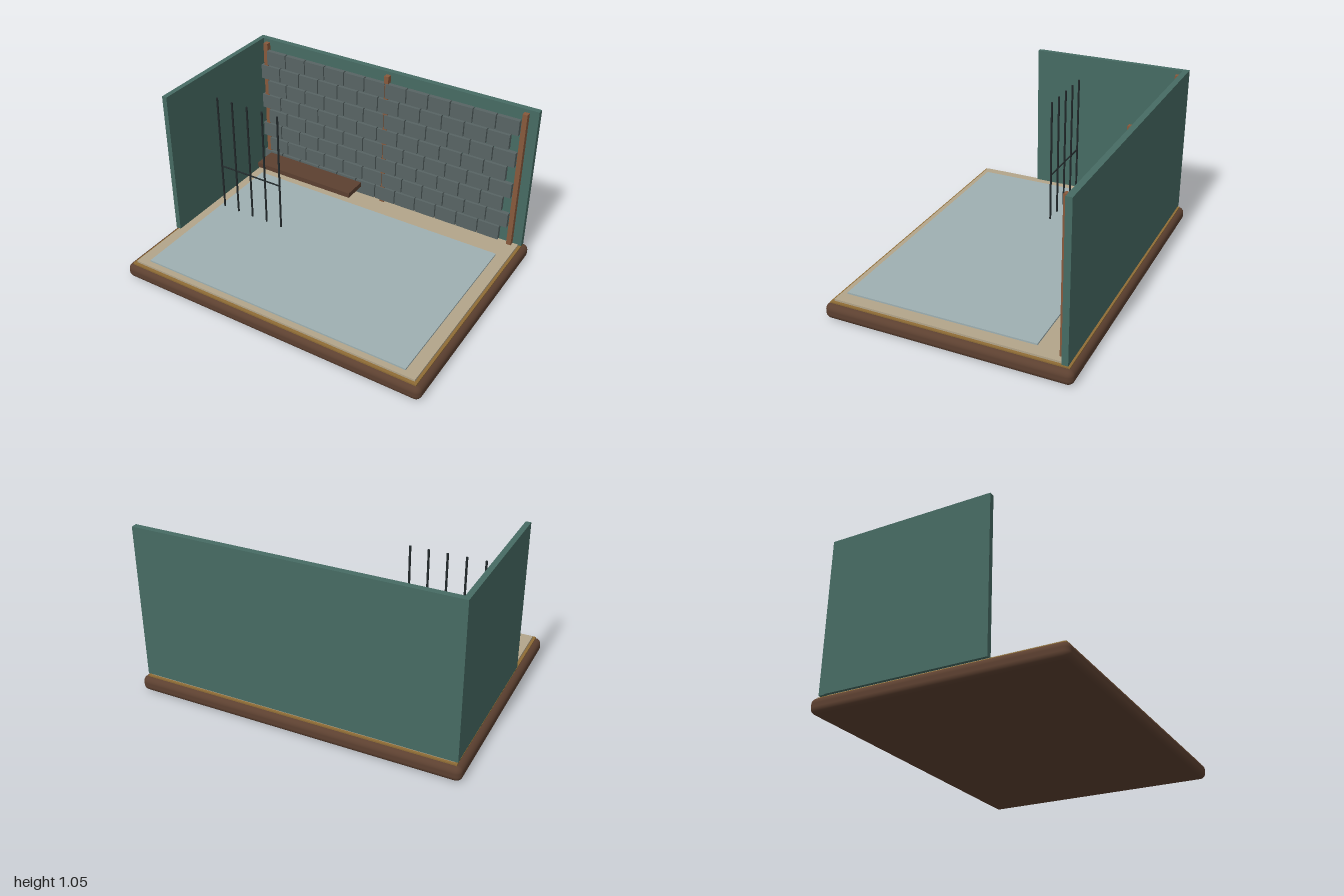
import * as THREE from 'three';
import { RoundedBoxGeometry } from 'three/addons/geometries/RoundedBoxGeometry.js';

const mat = (color) => new THREE.MeshStandardMaterial({ color });
const wood = mat(0x5c4030), gold = mat(0x8f6c35), sand = mat(0xb3a58a), glaze = mat(0x9eb0b2);
const wallGreen = mat(0x466b63), stone = mat(0x586464), timber = mat(0x87593c), iron = mat(0x22292b);

export function createModel() {
  const model = new THREE.Group();

  const add = (name, geometry, material, x, y, z, parent = model) => {
    const mesh = new THREE.Mesh(geometry, material);
    mesh.name = name;
    mesh.position.set(x, y, z);
    parent.add(mesh);
    return mesh;
  };
  // Box given by its extents on each axis
  const block = (name, material, [x0, x1], [y0, y1], [z0, z1], parent) =>
    add(name, new THREE.BoxGeometry(x1 - x0, y1 - y0, z1 - z0), material,
      (x0 + x1) / 2, (y0 + y1) / 2, (z0 + z1) / 2, parent);
  const group = (name) => {
    const g = new THREE.Group();
    g.name = name;
    model.add(g);
    return g;
  };

  // Rounded plinth with stepped floor layers
  add('plinth', new RoundedBoxGeometry(2, 0.092, 1.49, 5, 0.036), wood, 0, 0.046, -0.005);
  block('plinthTrim', gold, [-0.967, 0.967], [0.085, 0.099], [-0.723, 0.716]);
  block('floor', sand, [-0.95, 0.95], [0.099, 0.111], [-0.708, 0.697]);
  block('floorPanel', glaze, [-0.875, 0.875], [0.111, 0.121], [-0.505, 0.66]);

  // Two walls meeting at the back corner
  block('backWall', wallGreen, [-0.97, 0.97], [0.107, 1.05], [-0.714, -0.677]);
  block('sideWall', wallGreen, [-0.97, -0.938], [0.11, 1.05], [-0.677, 0.3]);

  // Timber posts against the back wall
  const posts = group('posts');
  for (const x of [-0.903, -0.003, 0.898])
    block('post', timber, [x - 0.015, x + 0.015], [0.11, 1.03], [-0.677, -0.644], posts);

  // Stone blocks, alternate courses shifted sideways
  const stones = group('stoneCourses');
  const rows = 8, columns = 12, pitch = 0.1475;
  const stoneGeometry = new THREE.BoxGeometry(0.14, 0.097, 0.028);
  for (let r = 0; r < rows; r++) {
    const start = r % 2 ? -0.89 : -0.938;
    for (let c = 0; c < columns; c++)
      add('stoneBlock', stoneGeometry, stone, start + 0.0715 + c * pitch, 0.175 + r * 0.1084, -0.652, stones);
  }

  // Bench plank in front of the stones
  block('benchPlank', wood, [-0.835, -0.12], [0.231, 0.264], [-0.567, -0.412]);

  // Free-standing iron bars with a crossbar
  const grille = group('ironBars');
  const barGeometry = new THREE.CylinderGeometry(0.0065, 0.0065, 0.795, 10);
  for (let i = 0; i < 5; i++)
    add('bar', barGeometry, iron, -0.834 + i * 0.1107, 0.53, -0.032, grille);
  const cross = add('crossbar', new THREE.CylinderGeometry(0.005, 0.005, 0.455, 10), iron, -0.613, 0.44, -0.032, grille);
  cross.rotation.z = Math.PI / 2;

  return model;
}
